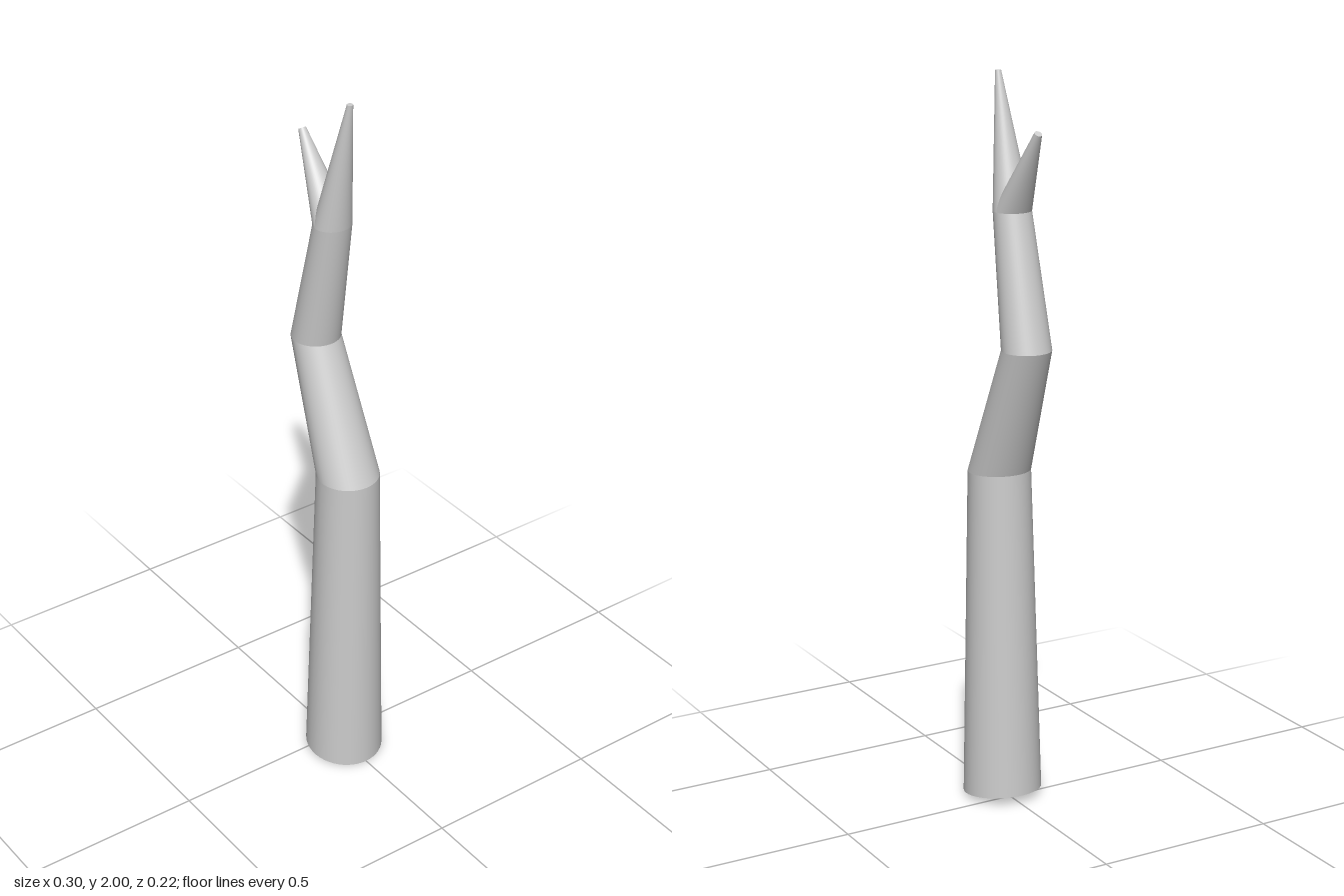
import * as THREE from 'three';

const SIDES = 48;
// Elliptical rings: left edge (x, y), right edge (x, y), half depth in z
const base = [-0.065, 0.029, 0.15, 0.003, 0.108];
const knee = [-0.026, 0.935, 0.141, 0.928, 0.086];
const elbow = [-0.152, 1.29, -0.02, 1.29, 0.067];
const fork = [-0.06, 1.645, 0.036, 1.645, 0.052];
const tip = [0.054, 2.0, 0.069, 1.999, 0.008];
const twigTip = [-0.151, 1.855, -0.133, 1.866, 0.01];

function ringPoint([x0, y0, x1, y1, r], angle) {
  const t = (1 + Math.sin(angle)) / 2;
  return [x0 + (x1 - x0) * t, y0 + (y1 - y0) * t, r * Math.cos(angle)];
}

// Tapered limb between two rings, using a capped cylinder as the base mesh
function limb(name, lower, upper, material) {
  const geometry = new THREE.CylinderGeometry(1, 1, 2, SIDES, 1);
  const p = geometry.attributes.position;
  for (let i = 0; i < p.count; i++) {
    const ring = p.getY(i) > 0 ? upper : lower;
    const isCentre = Math.hypot(p.getX(i), p.getZ(i)) < 0.5;
    const point = ringPoint(ring, Math.atan2(p.getX(i), p.getZ(i)));
    if (isCentre) {
      p.setXYZ(i, (ring[0] + ring[2]) / 2, (ring[1] + ring[3]) / 2, 0);
    } else {
      p.setXYZ(i, ...point);
    }
  }
  geometry.computeVertexNormals();
  // Match the normals across the seam of the side wall
  const n = geometry.attributes.normal;
  for (const row of [0, SIDES + 1]) {
    const a = new THREE.Vector3().fromBufferAttribute(n, row);
    const b = new THREE.Vector3().fromBufferAttribute(n, row + SIDES);
    a.add(b).normalize();
    n.setXYZ(row, a.x, a.y, a.z);
    n.setXYZ(row + SIDES, a.x, a.y, a.z);
  }
  const mesh = new THREE.Mesh(geometry, material);
  mesh.name = name;
  return mesh;
}

export function createModel() {
  const group = new THREE.Group();
  group.name = 'bareBranch';
  const material = new THREE.MeshStandardMaterial({ color: 0xcccccc });
  group.add(
    limb('lowerTrunk', base, knee, material),
    limb('middleTrunk', knee, elbow, material),
    limb('upperTrunk', elbow, fork, material),
    limb('mainTip', fork, tip, material),
    limb('sideTwig', fork, twigTip, material),
  );
  return group;
}
